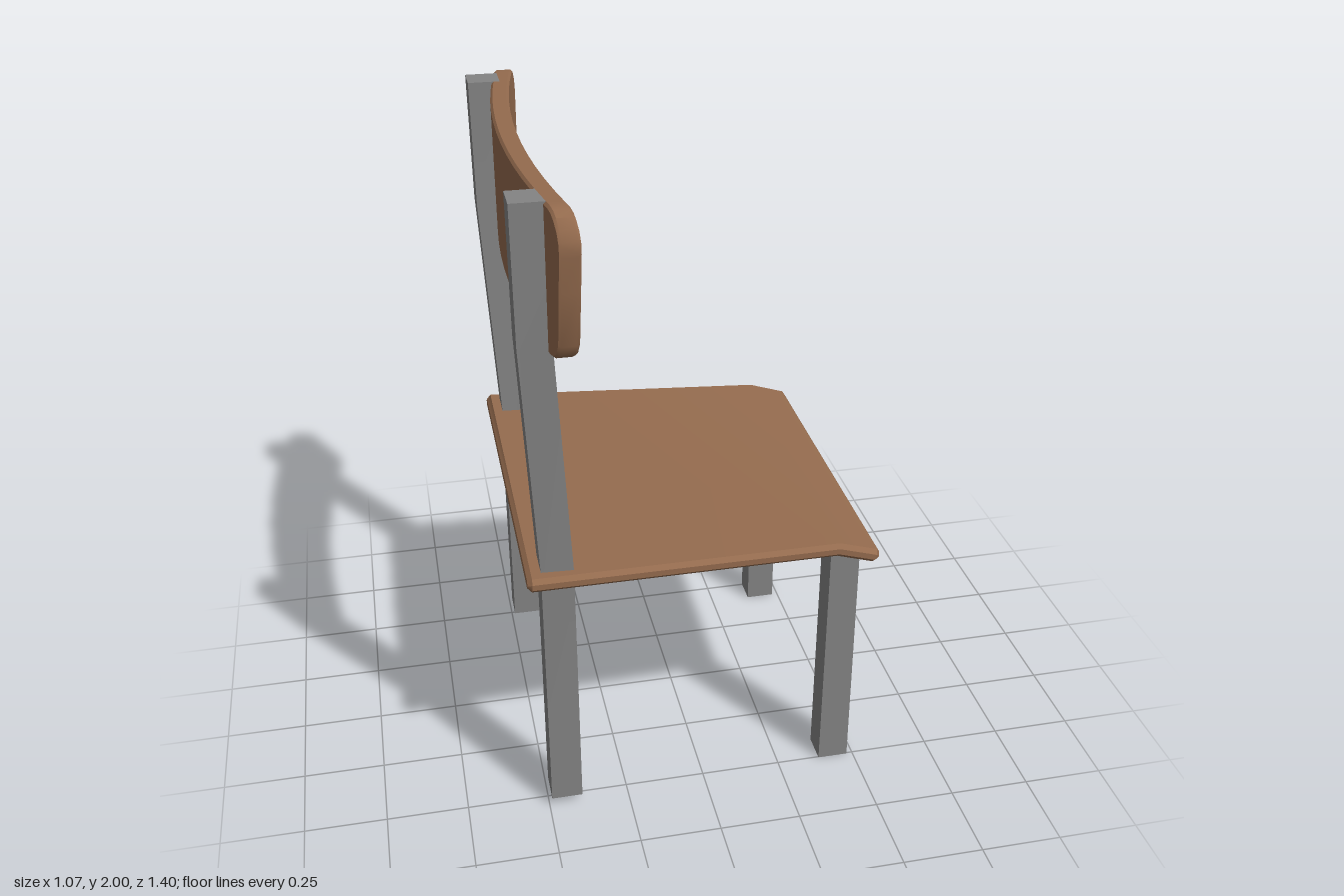
import * as THREE from 'three';
import { toCreasedNormals } from 'three/addons/utils/BufferGeometryUtils.js';

// Skins a row of equal-sized rings; each ring runs counter-clockwise seen from the far end.
function loft(rings) {
  const n = rings[0].length, index = [];
  for (let i = 0; i < rings.length - 1; i++) {
    for (let j = 0; j < n; j++) {
      const a = i * n + j, b = i * n + (j + 1) % n;
      index.push(a, b, b + n, a, b + n, a + n);
    }
  }
  const end = (rings.length - 1) * n;
  for (let j = 1; j < n - 1; j++) {
    index.push(0, j + 1, j, end, end + j, end + j + 1);
  }
  const geometry = new THREE.BufferGeometry();
  geometry.setAttribute('position', new THREE.Float32BufferAttribute(rings.flat(2), 3));
  geometry.setIndex(index);
  return toCreasedNormals(geometry, 0.6);
}

// Chamfered rectangle, half sizes a and b, as 2D points.
function chamfered(a, b, c) {
  const p = a - Math.min(c, a * 0.9), q = b - Math.min(c, b * 0.9);
  return [[a, -q], [a, q], [p, b], [-p, b], [-a, q], [-a, -q], [-p, -b], [p, -b]];
}

// Square-section leg; stations are [y, x min, x max, z min, z max].
const legGeometry = (stations) => loft(stations.map(([y, x0, x1, z0, z1]) =>
  [[x0, y, z0], [x0, y, z1], [x1, y, z1], [x1, y, z0]]));

export function createModel() {
  const chair = new THREE.Group();
  chair.name = 'chair';
  const wood = new THREE.MeshStandardMaterial({ name: 'brown wood', color: 0x946b4e });
  const metal = new THREE.MeshStandardMaterial({ name: 'grey metal', color: 0x848484 });

  const add = (name, geometry, material) => {
    const mesh = new THREE.Mesh(geometry, material);
    mesh.name = name;
    chair.add(mesh);
  };

  // Seat: tapering board that dips at the front edge (+x); [x, y, half width, half thickness, tilt]
  const seat = [
    [-0.535, 0.857, 0.58, 0.012, 0.04],
    [-0.522, 0.857, 0.59, 0.022, 0.04],
    [0.4, 0.823, 0.541, 0.022, 0.17],
    [0.515, 0.786, 0.539, 0.022, 0.32],
    [0.527, 0.782, 0.53, 0.012, 0.32],
  ];
  add('seat', loft(seat.map(([x, y, w, t, tilt]) => chamfered(t, w, 0.013).map(([u, v]) =>
    [x + u * Math.sin(tilt), y + u * Math.cos(tilt), v]))), wood);

  // Backrest: curved board with rounded corners; [z, bottom y, top y]
  const half = [
    [0, 1.58, 2], [0.1, 1.58, 2], [0.2, 1.58, 2], [0.3, 1.58, 2], [0.4, 1.58, 2],
    [0.5, 1.58, 2], [0.6, 1.58, 2], [0.625, 1.586, 2], [0.65, 1.602, 1.994],
    [0.668, 1.635, 1.982], [0.688, 1.79, 1.96], [0.7, 1.89, 1.93],
  ];
  const mirrored = half.slice(1).reverse().map(([z, y0, y1]) => [-z, y0, y1]);
  add('backrest', loft([...mirrored, ...half].map(([z, y0, y1]) => {
    const x = -0.47 + 0.073 * (z / 0.7) ** 2;
    return chamfered(0.028, (y1 - y0) / 2, 0.007).map(([u, v]) => [x + u, (y0 + y1) / 2 + v, z]);
  })), wood);

  // Legs, a pair at each end; the rear ones rise past the seat and lean outwards
  const rear = [
    [0.03, -0.492, -0.397, 0.45, 0.547],
    [0.87, -0.492, -0.397, 0.45, 0.547],
    [1.6, -0.53, -0.435, 0.49, 0.585],
    [2, -0.533, -0.435, 0.498, 0.594],
  ];
  const front = [
    [0, 0.386, 0.481, 0.413, 0.503],
    [0.803, 0.386, 0.476, 0.413, 0.503],
  ];
  for (const [side, sign] of [['left', 1], ['right', -1]]) {
    const place = (list) => list.map(([y, x0, x1, z0, z1]) =>
      sign > 0 ? [y, x0, x1, z0, z1] : [y, x0, x1, -z1, -z0]);
    add(`${side} rear leg`, legGeometry(place(rear)), metal);
    add(`${side} front leg`, legGeometry(place(front)), metal);
  }
  return chair;
}
